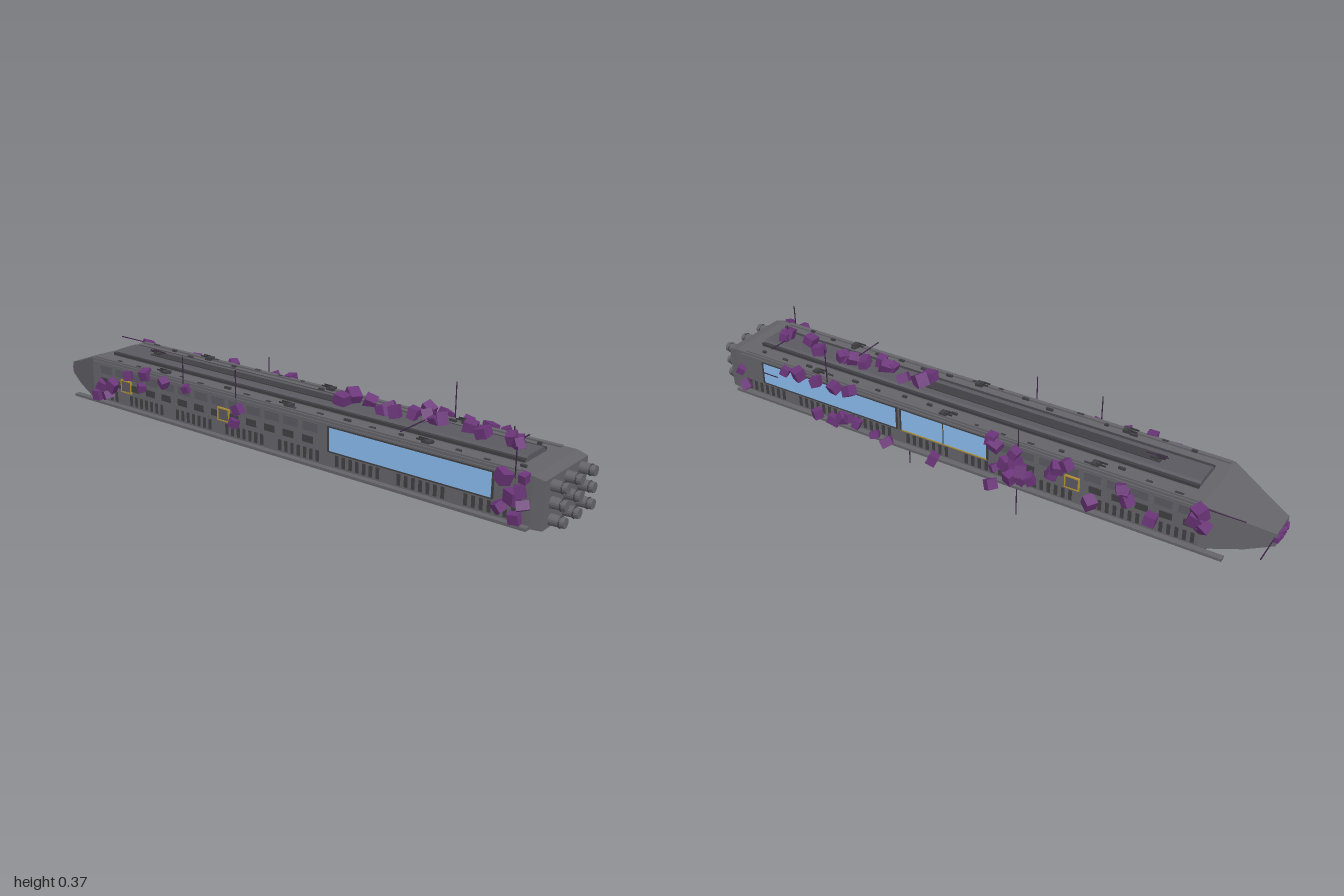
import * as THREE from 'three';

const mat = (color, side = THREE.FrontSide) =>
  new THREE.MeshStandardMaterial({ color, side, flatShading: true, roughness: 0.9 });
const M = {
  hull: mat(0x646368), deck: mat(0x5a5960), dark: mat(0x343437), slat: mat(0x3f3f43),
  glass: mat(0x8abbee), gold: mat(0xb3922f), crystal: mat(0x6a3578), rod: mat(0x3c2345),
};
const CX = -0.0125; // centre line of the hull

function rng(seed) {
  return () => {
    seed = (seed * 16807) % 2147483647;
    return seed / 2147483647;
  };
}

function add(parent, name, geo, material, x = 0, y = 0, z = 0) {
  const m = new THREE.Mesh(geo, material);
  m.name = name;
  m.position.set(x, y, z);
  parent.add(m);
  return m;
}
const box = (p, name, material, w, h, d, x, y, z) =>
  add(p, name, new THREE.BoxGeometry(w, h, d), material, x, y, z);

// Skin four-cornered sections, ordered from +z to -z.
// Each section: [z, half width at bottom, half width at top, bottom y, top y]
function loft(sections) {
  const pos = [], idx = [];
  for (const [z, wb, wt, y0, y1] of sections)
    pos.push(CX - wb, y0, z, CX + wb, y0, z, CX + wt, y1, z, CX - wt, y1, z);
  for (let s = 0; s < sections.length - 1; s++)
    for (let i = 0; i < 4; i++) {
      const a = s * 4 + i, b = s * 4 + (i + 1) % 4;
      idx.push(a, a + 4, b, b, a + 4, b + 4);
    }
  const e = (sections.length - 1) * 4;
  idx.push(0, 1, 2, 0, 2, 3, e, e + 2, e + 1, e, e + 3, e + 2);
  const g = new THREE.BufferGeometry();
  g.setAttribute('position', new THREE.Float32BufferAttribute(pos, 3));
  g.setIndex(idx);
  const flat = g.toNonIndexed();
  flat.computeVertexNormals();
  return flat;
}

// Thin rod between two points
function rod(parent, a, b, r = 0.002) {
  const A = new THREE.Vector3(...a), B = new THREE.Vector3(...b);
  const d = B.clone().sub(A);
  const m = add(parent, 'antenna', new THREE.CylinderGeometry(r, r, d.length(), 6), M.rod);
  m.position.copy(A).add(B).multiplyScalar(0.5);
  m.quaternion.setFromUnitVectors(new THREE.Vector3(0, 1, 0), d.normalize());
}

function buildHull(g) {
  add(g, 'hull', loft([
    [0.955, 0.122, 0.122, 0.108, 0.25], [0.92, 0.126, 0.126, 0.106, 0.258],
    [-0.79, 0.126, 0.126, 0.106, 0.258], [-0.91, 0.08, 0.08, 0.122, 0.213],
    [-0.988, 0.05, 0.05, 0.145, 0.187],
  ]), M.hull);
  add(g, 'keel', loft([[0.9, 0.036, 0.07, 0.087, 0.107], [-0.81, 0.036, 0.07, 0.087, 0.107]]), M.dark);
  box(g, 'bellyPlate', M.dark, 0.25, 0.006, 1.72, CX, 0.104, 0.05);
  // raised spine on top
  add(g, 'spine', loft([[0.86, 0.066, 0.042, 0.257, 0.275], [-0.75, 0.066, 0.042, 0.257, 0.275]]), M.deck);
  box(g, 'spinePlate', M.slat, 0.04, 0.004, 0.82, CX, 0.276, -0.2);
  for (const s of [-1, 1]) {
    box(g, 'spineRail', M.slat, 0.012, 0.011, 1.61, CX + s * 0.056, 0.264, 0.055);
    box(g, 'skirtRail', M.hull, 0.02, 0.009, 1.79, CX + s * 0.137, 0.11, 0.025);
    box(g, 'deckEdge', M.hull, 0.014, 0.006, 1.66, CX + s * 0.114, 0.26, 0.05);
  }
}

function buildEngines(g) {
  for (let i = -1; i <= 1; i++)
    for (let j = -1; j <= 1; j++) {
      const n = add(g, 'engine', new THREE.CylinderGeometry(0.015, 0.017, 0.05, 16), M.hull,
        -0.01 + i * 0.081, 0.178 + j * 0.049, 0.975);
      n.rotation.x = Math.PI / 2;
      add(g, 'engineCollar', new THREE.TorusGeometry(0.016, 0.002, 6, 16), M.slat,
        n.position.x, n.position.y, 0.986);
    }
}

// Glazing with frame, mullions and sill; s is the side of the hull
function windowBay(g, s, z0, z1, sill) {
  const x = CX + s * 0.127, zc = (z0 + z1) / 2, len = z1 - z0;
  box(g, 'window', M.glass, 0.003, 0.074, len, x, 0.202, zc);
  for (const y of [0.163, 0.241])
    box(g, 'windowFrame', y < 0.2 && sill ? M.gold : M.slat, 0.006, 0.004, len, x, y, zc);
  for (const z of [z0, z1]) box(g, 'windowPost', M.slat, 0.006, 0.08, 0.006, x, 0.202, z);
  if (sill) box(g, 'mullion', M.slat, 0.005, 0.074, 0.003, x, 0.202, zc);
}

function buildSides(g) {
  windowBay(g, 1, 0.25, 0.805, false);
  windowBay(g, 1, -0.09, 0.235, true);
  windowBay(g, -1, 0.25, 0.805, false);
  for (const s of [-1, 1]) {
    const x = CX + s * 0.126;
    // lower slats run the full length
    for (let i = 0; i < 68; i++)
      if (i % 9 < 7) box(g, 'slat', M.slat, 0.005, 0.035, 0.011, x, 0.138, 0.87 - i * 0.0245);
    // upper panels where there is no glazing
    for (let z = s > 0 ? -0.15 : 0.18; z > -0.76; z -= 0.075) {
      box(g, 'sidePanel', M.deck, 0.006, 0.028, 0.055, x, 0.225, z);
      box(g, 'sidePanelStrip', M.slat, 0.006, 0.022, 0.04, x, 0.183, z - 0.01);
    }
    box(g, 'sideBeam', M.hull, 0.008, 0.005, 1.68, x, 0.247, 0.06);
  }
  // framed hatches
  for (const [s, z] of [[1, -0.385], [-1, -0.62], [-1, -0.17]]) {
    const x = CX + s * 0.128;
    box(g, 'hatch', M.deck, 0.006, 0.04, 0.045, x, 0.185, z);
    for (const k of [-1, 1]) {
      box(g, 'hatchFrame', M.gold, 0.009, 0.004, 0.05, x, 0.185 + k * 0.02, z);
      box(g, 'hatchFrame', M.gold, 0.009, 0.044, 0.004, x, 0.185, z + k * 0.023);
    }
  }
}

function buildDeckFittings(g) {
  const turret = (x, y, z) => {
    box(g, 'turretBase', M.slat, 0.024, 0.01, 0.026, x, y + 0.004, z);
    for (const k of [-1, 1])
      box(g, 'turretBarrel', M.dark, 0.004, 0.004, 0.03, x + k * 0.007, y + 0.009, z - 0.018);
  };
  for (const z of [-0.45, 0.08, 0.58]) for (const x of [-0.117, 0.095]) turret(x, 0.261, z);
  turret(-0.01, 0.276, -0.59);
  const r = rng(11);
  for (let i = 0; i < 34; i++) {
    const x = CX + (i % 2 ? 1 : -1) * (0.085 + r() * 0.03);
    box(g, 'deckVent', M.slat, 0.008, 0.008, 0.012 + r() * 0.014, x, 0.261, 0.87 - i * 0.048);
  }
}

function buildCrystals(g) {
  const r = rng(77);
  const crystal = (x, y, z, size) => {
    const m = box(g, 'crystal', M.crystal, size, size * (0.75 + r() * 0.4), size * (0.8 + r() * 0.4), x, y, z);
    m.rotation.set(r() * 1.2 - 0.6, r() * 1.2 - 0.6, r() * 0.8 - 0.4);
  };
  // [z, y] along the +x side
  const left = [
    [0.9, 0.19], [0.88, 0.14], [0.64, 0.25], [0.56, 0.13], [0.5, 0.12], [0.46, 0.14], [0.43, 0.15],
    [0.4, 0.14], [0.33, 0.12], [0.28, 0.11], [0.56, 0.25], [0.48, 0.255], [0.42, 0.26], [0.69, 0.25],
    [0.1, 0.11], [-0.11, 0.25], [-0.13, 0.24], [-0.12, 0.15], [-0.16, 0.18], [-0.18, 0.14], [-0.2, 0.2],
    [-0.22, 0.15], [-0.25, 0.16], [-0.22, 0.18], [-0.2, 0.24], [-0.32, 0.2], [-0.34, 0.23], [-0.37, 0.25],
    [-0.45, 0.145], [-0.55, 0.235], [-0.57, 0.2], [-0.56, 0.22], [-0.65, 0.17], [-0.78, 0.22],
    [-0.8, 0.2], [-0.79, 0.24],
  ];
  for (const [z, y] of left) crystal(0.122 + r() * 0.018, y, z, 0.027 + r() * 0.012);
  // [z, y] along the -x side
  const right = [
    [0.9, 0.25], [0.89, 0.21], [0.9, 0.17], [0.88, 0.13], [0.84, 0.24], [0.83, 0.15], [0.87, 0.19],
    [-0.1, 0.22], [-0.12, 0.17], [-0.33, 0.24], [-0.43, 0.24], [-0.52, 0.25], [-0.54, 0.2],
    [-0.6, 0.23], [-0.68, 0.18], [-0.71, 0.14], [-0.74, 0.17], [-0.76, 0.13],
  ];
  for (const [z, y] of right) crystal(-0.143 - r() * 0.006, y, z, 0.026 + r() * 0.01);
  // underside
  for (const [x, z] of [[0.08, 0.57], [0.09, 0.2], [0.085, 0.33], [0.145, -0.12]]) crystal(x, 0.1, z, 0.035);
  // along the spine
  for (const z of [0.22, 0.23, 0.29, 0.36, 0.38, 0.41, 0.45, 0.46, 0.5, 0.53, 0.54, 0.64, 0.7, 0.79, 0.8, 0.81])
    crystal(-0.01 + (r() - 0.5) * 0.05, 0.285 + r() * 0.012, z, 0.028 + r() * 0.014);
  // nose tip
  for (let i = 0; i < 6; i++) crystal(-0.05 + i * 0.016, 0.16 + r() * 0.015, -0.983, 0.022);
}

function buildAntennas(g) {
  rod(g, [0.117, 0.25, 0.525], [0.117, 0.372, 0.525]);
  rod(g, [0.117, 0.2, -0.2], [0.117, 0.31, -0.2]);
  rod(g, [0.123, 0.16, -0.2], [0.123, 0, -0.2]);
  rod(g, [0.121, 0.11, 0.2], [0.121, 0.05, 0.2]);
  rod(g, [-0.138, 0.24, -0.12], [-0.138, 0.342, -0.12]);
  rod(g, [-0.138, 0.24, -0.35], [-0.138, 0.342, -0.35]);
  rod(g, [-0.141, 0.24, 0.87], [-0.141, 0.327, 0.87]);
  rod(g, [-0.01, 0.28, 0.79], [-0.01, 0.33, 0.79]);
  rod(g, [0, 0.285, 0.505], [-0.142, 0.285, 0.505]);
  rod(g, [0, 0.28, 0.79], [0.08, 0.28, 0.79]);
  rod(g, [0.03, 0.165, -0.98], [0.14, 0.165, -0.98]);
  rod(g, [0.12, 0.255, -0.78], [0.12, 0.255, -0.92]);
  rod(g, [-0.01, 0.286, -0.56], [-0.01, 0.286, -0.63]);
  rod(g, [0.12, 0.205, 0.74], [0.12, 0.205, 0.8]);
}

export function createModel() {
  const model = new THREE.Group();
  model.name = 'ship';
  const parts = {
    hullGroup: buildHull, engines: buildEngines, sides: buildSides,
    deckFittings: buildDeckFittings, crystals: buildCrystals, antennas: buildAntennas,
  };
  for (const [name, build] of Object.entries(parts)) {
    const g = new THREE.Group();
    g.name = name;
    build(g);
    model.add(g);
  }
  return model;
}
